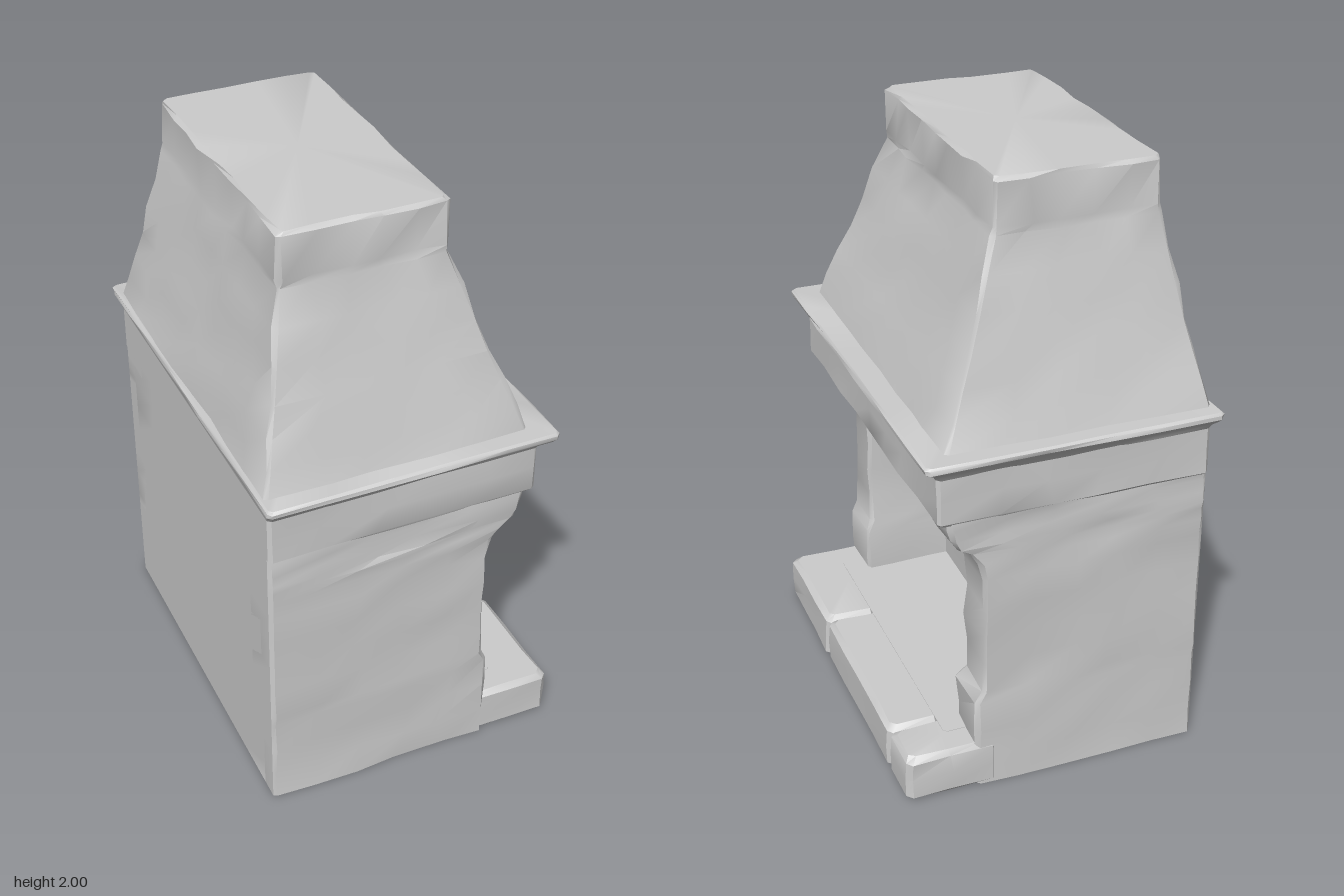
import * as THREE from 'three';
import { toCreasedNormals } from 'three/addons/utils/BufferGeometryUtils.js';

const stone = new THREE.MeshStandardMaterial({ color: 0xcccccc });
stone.name = 'greyStone';

// Small repeatable noise in -1..1
let seed = 7;
function rand() {
  seed = (seed * 16807) % 2147483647;
  return (seed / 2147483647) * 2 - 1;
}

// Rectangular masonry block lofted through levels [y, x0, x1, z0, z1], bottom to top.
// Sides are divided into rough stones, corners are chamfered, ends are bevelled.
function masonry(name, levels, { rough = 0.007, chamfer = 0.012, bevelTop = 0.012, bevelBottom = 0, step = 0.17 } = {}) {
  // Split tall spans into courses
  const rows = [];
  levels.forEach((level, i) => {
    if (i > 0) {
      const prev = levels[i - 1];
      const n = Math.max(1, Math.round((level[0] - prev[0]) / (step * 0.6)));
      for (let k = 1; k < n; k++) rows.push(level.map((v, j) => prev[j] + (v - prev[j]) * k / n));
    }
    rows.push(level);
  });
  const inset = ([y, x0, x1, z0, z1], b, dy) => [y + dy, x0 + b, x1 - b, z0 + b, z1 - b];
  const last = rows.length - 1;
  if (bevelTop) {
    rows.push(inset(rows[last], bevelTop, 0));
    rows[last] = inset(rows[last], 0, -bevelTop);
  }
  if (bevelBottom) {
    rows.unshift(inset(rows[0], bevelBottom, 0));
    rows[1] = inset(rows[1], 0, bevelBottom);
  }

  const [, ax0, ax1, az0, az1] = levels[0];
  const nx = Math.max(1, Math.round((ax1 - ax0) / step));
  const nz = Math.max(1, Math.round((az1 - az0) / step));
  const position = [];
  const index = [];
  let ring = 0;

  rows.forEach(([y, x0, x1, z0, z1]) => {
    const corners = [[x1, z1], [x1, z0], [x0, z0], [x0, z1]];
    const start = position.length / 3;
    for (let s = 0; s < 4; s++) {
      const a = corners[s], b = corners[(s + 1) % 4];
      const n = s % 2 ? nx : nz;
      const t0 = chamfer / Math.hypot(b[0] - a[0], b[1] - a[1]);
      for (let i = 0; i <= n; i++) {
        const shift = i > 0 && i < n ? rand() * 0.2 : 0;
        const t = t0 + (1 - 2 * t0) * (i + shift) / n;
        // The back face stays flat below the hood
        const push = s === 2 && y < 1.2 ? 0 : rand() * rough;
        const out = [[1, 0], [0, -1], [-1, 0], [0, 1]][s];
        position.push(a[0] + (b[0] - a[0]) * t + out[0] * push, y, a[1] + (b[1] - a[1]) * t + out[1] * push);
      }
    }
    ring = position.length / 3 - start;
  });

  for (let r = 0; r < rows.length - 1; r++) {
    for (let i = 0; i < ring; i++) {
      const j = (i + 1) % ring;
      const a = r * ring + i, b = r * ring + j, c = b + ring, d = a + ring;
      index.push(a, b, c, a, c, d);
    }
  }
  // End caps
  const cap = (row, first, flip) => {
    const centre = position.length / 3;
    position.push((row[1] + row[2]) / 2, row[0], (row[3] + row[4]) / 2);
    for (let i = 0; i < ring; i++) {
      const a = first + i, b = first + (i + 1) % ring;
      if (flip) index.push(centre, b, a);
      else index.push(centre, a, b);
    }
  };
  cap(rows[0], 0, true);
  cap(rows[rows.length - 1], (rows.length - 1) * ring, false);

  const geometry = new THREE.BufferGeometry();
  geometry.setAttribute('position', new THREE.Float32BufferAttribute(position, 3));
  geometry.setIndex(index);
  const mesh = new THREE.Mesh(toCreasedNormals(geometry, 0.6), stone);
  mesh.name = name;
  return mesh;
}

export function createModel() {
  const model = new THREE.Group();
  model.name = 'fireplace';

  // Hearth: front slabs and the firebox floor
  const joints = [-0.65, -0.47, 0.2, 0.65];
  for (let i = 0; i < 3; i++) {
    const front = 0.51 + i * 0.003;
    model.add(masonry('hearthSlab', [
      [0, 0.2, front, joints[i], joints[i + 1]],
      [0.163, 0.2, front, joints[i], joints[i + 1]],
    ], { rough: 0.004, chamfer: 0.018, bevelTop: 0.018, bevelBottom: 0.015 }));
  }
  model.add(masonry('fireboxFloor', [
    [0, -0.5, 0.35, -0.55, 0.55],
    [0.165, -0.5, 0.35, -0.55, 0.55],
  ], { rough: 0, bevelTop: 0 }));

  // Back wall with a sloping ledge at its foot
  model.add(masonry('backWall', [
    [0, -0.5, -0.04, -0.58, 0.58],
    [0.28, -0.5, -0.04, -0.58, 0.58],
    [0.37, -0.5, -0.12, -0.58, 0.58],
    [1.02, -0.5, -0.13, -0.58, 0.58],
  ], { bevelTop: 0 }));

  // Side walls: foot, pilaster and curved corbel [y, front x, inner z]
  const profile = [
    [0, 0.27, 0.465], [0.32, 0.275, 0.465], [0.36, 0.253, 0.478], [0.78, 0.25, 0.478],
    [0.84, 0.262, 0.478], [0.88, 0.295, 0.478], [0.905, 0.335, 0.478],
    [0.94, 0.352, 0.478], [0.98, 0.36, 0.478], [1.01, 0.365, 0.478],
  ];
  for (const side of [-1, 1]) {
    const levels = profile.map(([y, front, inner]) =>
      [y, -0.5, front, Math.min(side * inner, side * 0.648), Math.max(side * inner, side * 0.648)]);
    model.add(masonry(side > 0 ? 'leftSideWall' : 'rightSideWall', levels, { bevelTop: 0 }));
  }

  // Lintel block above the opening
  model.add(masonry('lintel', [
    [1.0, -0.5, 0.4, -0.655, 0.655],
    [1.19, -0.5, 0.4, -0.655, 0.655],
  ], { rough: 0.004, bevelTop: 0, bevelBottom: 0.01 }));

  // Moulded mantel shelf
  model.add(masonry('mantelShelf', [
    [1.165, -0.5, 0.4, -0.655, 0.655],
    [1.185, -0.505, 0.412, -0.668, 0.668],
    [1.205, -0.515, 0.435, -0.692, 0.692],
    [1.215, -0.518, 0.448, -0.702, 0.702],
    [1.235, -0.518, 0.448, -0.702, 0.702],
  ], { rough: 0.003, bevelTop: 0.007 }));

  // Tapered hood running into the chimney block
  model.add(masonry('hoodAndChimney', [
    [1.22, -0.505, 0.372, -0.645, 0.645],
    [1.5, -0.446, 0.268, -0.563, 0.563],
    [1.825, -0.386, 0.158, -0.48, 0.48],
    [1.85, -0.382, 0.155, -0.478, 0.478],
    [2.0, -0.38, 0.155, -0.478, 0.478],
  ]));

  return model;
}
